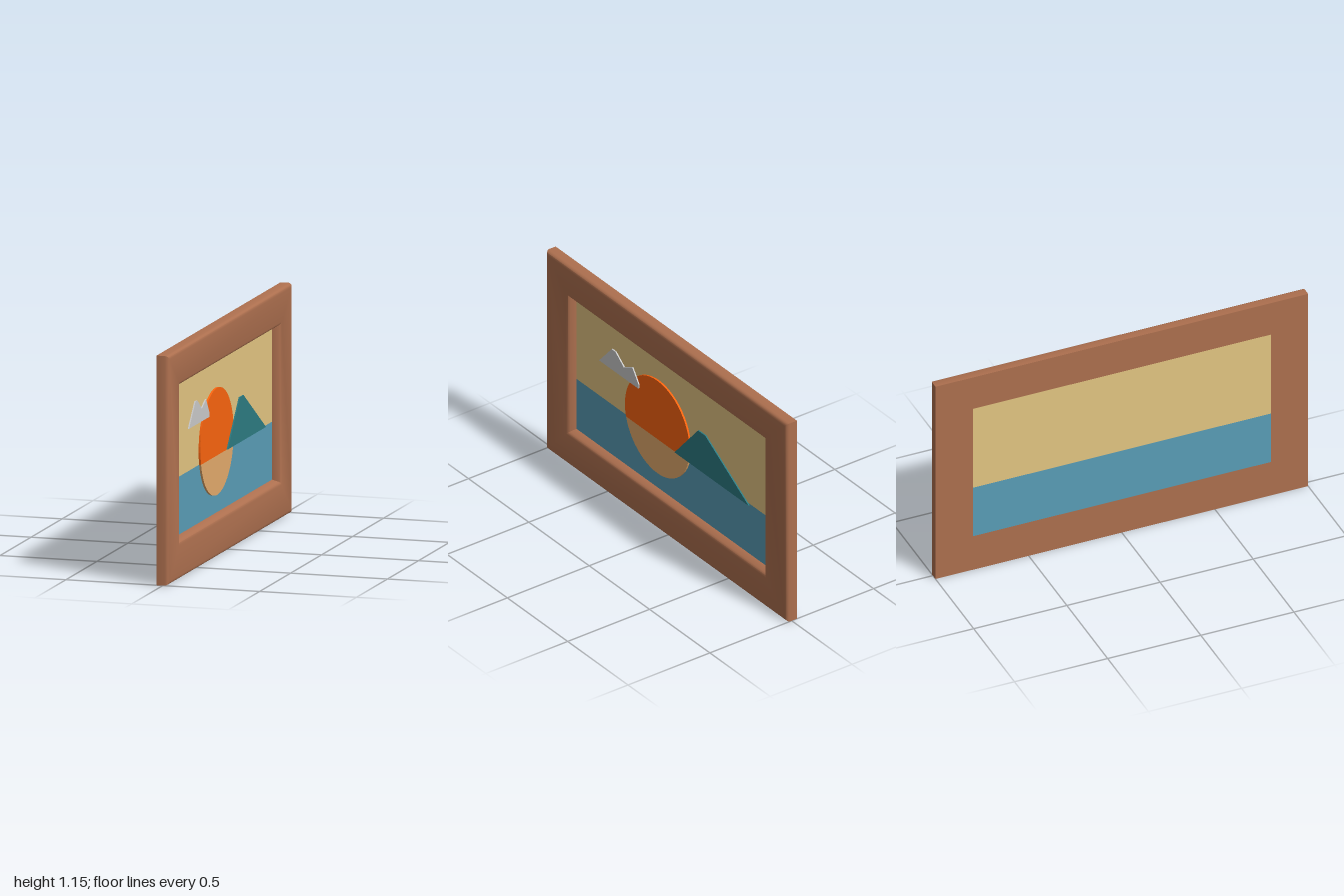
import * as THREE from 'three';
import { toCreasedNormals } from 'three/addons/utils/BufferGeometryUtils.js';

const BACK = -0.032, PANEL = -0.012, RELIEF = -0.002;

function part(name, geometry, color) {
  const mesh = new THREE.Mesh(geometry, new THREE.MeshStandardMaterial({ color }));
  mesh.name = name;
  return mesh;
}

// Flat cut-out with its back at z0 and its front at z1
function slab(points, z0, z1) {
  const shape = new THREE.Shape(points.map(([x, y]) => new THREE.Vector2(x, y)));
  const g = new THREE.ExtrudeGeometry(shape, { depth: z1 - z0, bevelEnabled: false });
  return g.translate(0, 0, z0);
}

// Points of a circular arc, for the two parts of the sun
function arc(cx, cy, r, from, to, n) {
  return Array.from({ length: n + 1 }, (_, i) => {
    const a = from + (to - from) * i / n;
    return [cx + r * Math.cos(a), cy + r * Math.sin(a)];
  });
}

// Moulding profile swept round four mitred corners
function frameGeometry() {
  const profile = [ // [inset, z]
    [0, BACK], [0, 0.012], [0.003, 0.02], [0.009, 0.027], [0.02, 0.03],
    [0.172, 0.03], [0.182, 0.026], [0.189, 0.018], [0.2, PANEL], [0.2, BACK],
  ];
  const corners = [[-1, -1], [1, -1], [1, 1], [-1, 1]];
  const n = profile.length, pos = [], idx = [];
  corners.forEach(([sx, sy], k) => {
    profile.forEach(([inset, z], i) => {
      const y = sy < 0 ? inset : 1.15 - inset * 0.94;
      pos.push(sx * (1 - inset), y, z);
      const j = (i + 1) % n, a = k * n, b = ((k + 1) % 4) * n;
      idx.push(a + i, b + i, b + j, a + i, b + j, a + j);
    });
  });
  const g = new THREE.BufferGeometry();
  g.setAttribute('position', new THREE.Float32BufferAttribute(pos, 3));
  g.setIndex(idx);
  return toCreasedNormals(g, 0.75);
}

export function createModel() {
  const group = new THREE.Group();
  group.name = 'framedPicture';

  group.add(part('frame', frameGeometry(), 0xae704f));

  // Backing panel in two colours
  const horizon = 0.49, bottom = 0.2, top = 0.962;
  const strip = (y0, y1) => slab([[-0.8, y0], [0.8, y0], [0.8, y1], [-0.8, y1]], BACK, PANEL);
  group.add(part('sky', strip(horizon, top), 0xe5c783));
  group.add(part('water', strip(bottom, horizon), 0x5a9eb8));

  // Sun above the horizon and its reflection below
  const cx = -0.117, cy = 0.56, r = 0.268;
  const dip = Math.asin((horizon - cy) / r);
  group.add(part('sun', slab(arc(cx, cy, r, dip, Math.PI - dip, 32), PANEL, RELIEF), 0xfc650f));
  group.add(part('sunReflection',
    slab(arc(cx, cy, r, Math.PI - dip, Math.PI * 2 + dip, 24), PANEL, RELIEF), 0xe5ac6d));

  // Raised hill and cloud
  group.add(part('hill', slab(
    [[0.035, 0.492], [0.65, 0.492], [0.29, 0.717], [0.23, 0.717]], RELIEF, 0.005), 0x2d7c83));
  group.add(part('cloud', slab(
    [[-0.59, 0.71], [-0.265, 0.71], [-0.262, 0.732], [-0.315, 0.808], [-0.385, 0.773],
      [-0.455, 0.828], [-0.485, 0.828]], RELIEF, 0.005), 0xcccccc));

  // The picture faces +x
  group.rotation.y = Math.PI / 2;
  const model = new THREE.Group();
  model.add(group);
  return model;
}
